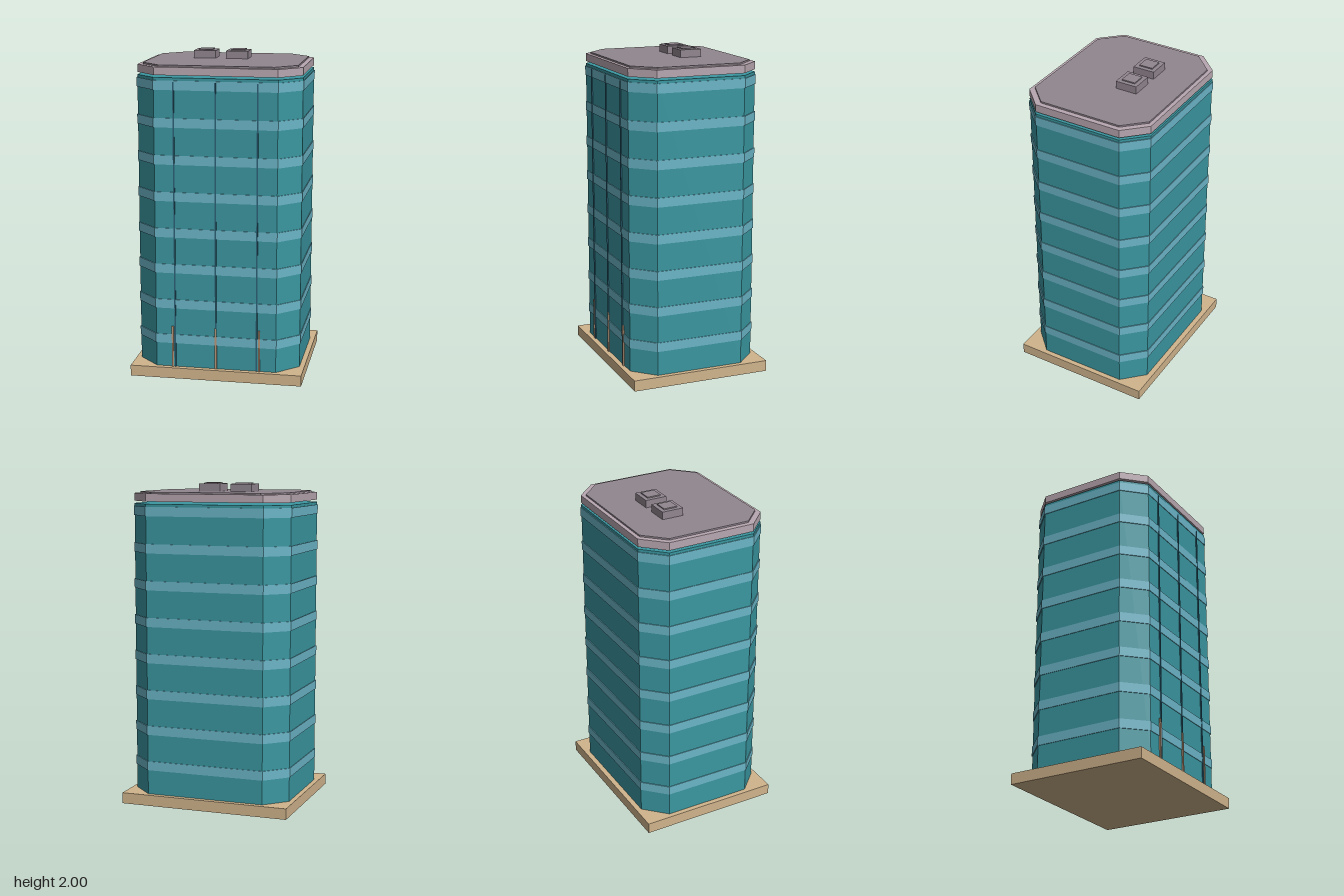
import * as THREE from 'three';

const mat = (name, color) => {
  const m = new THREE.MeshStandardMaterial({ color });
  m.name = name;
  return m;
};

export function createModel() {
  const group = new THREE.Group();
  const tan = mat('tan stone', 0xd0b48c);
  const teal = mat('teal glass', 0x3a96a0);
  const blue = mat('pale blue glass', 0x6bb5c7);
  const mauve = mat('pale mauve trim', 0xb8a7b0);
  const grey = mat('mauve grey roofing', 0x91868f);
  const navy = mat('dark blue metal', 0x2b6076);
  const bronze = mat('bronze', 0xb8967a);

  const add = (name, geometry, material, x = 0, y = 0, z = 0) => {
    const mesh = new THREE.Mesh(geometry, material);
    mesh.name = name;
    mesh.position.set(x, y, z);
    group.add(mesh);
  };
  const box = (name, material, w, d, y0, y1, x = 0, z = 0) =>
    add(name, new THREE.BoxGeometry(w, y1 - y0, d), material, x, (y0 + y1) / 2, z);

  // Upright prism on a rectangle with cut corners
  const prism = (name, material, hx, hz, cut, y0, y1) => {
    const shape = new THREE.Shape([
      [hx, -hz + cut], [hx, hz - cut], [hx - cut, hz], [-hx + cut, hz],
      [-hx, hz - cut], [-hx, -hz + cut], [-hx + cut, -hz], [hx - cut, -hz],
    ].map(([x, z]) => new THREE.Vector2(x, z)));
    const geometry = new THREE.ExtrudeGeometry(shape, { depth: y1 - y0, bevelEnabled: false });
    geometry.rotateX(-Math.PI / 2);
    add(name, geometry, material, 0, y0, 0);
  };

  // Plinth and tower
  box('plinth', tan, 1.074, 0.886, 0, 0.068);
  prism('tower', teal, 0.506, 0.41, 0.131, 0.068, 1.874);

  // Window bands
  for (let i = 0; i < 8; i++) {
    const y = 0.22 + i * 0.2257;
    prism('windowBand', blue, 0.51, 0.414, 0.132, y, y + 0.057);
  }

  // Roof cap, set just above the tower
  prism('roofRim', mauve, 0.505, 0.41, 0.131, 1.888, 1.936);
  prism('roofDeck', grey, 0.474, 0.386, 0.124, 1.936, 1.946);

  // Rooftop units with raised lids
  for (const x of [-0.151, 0.053]) {
    box('roofUnit', grey, 0.137, 0.137, 1.946, 1.993, x, -0.098);
    box('roofUnitLid', grey, 0.085, 0.087, 1.993, 2, x, -0.098);
  }

  // Front fins and entrance posts
  for (const x of [-0.255, 0, 0.255]) box('frontFin', navy, 0.009, 0.012, 0.068, 1.85, x, 0.411);
  for (const x of [-0.271, 0, 0.271]) box('entrancePost', bronze, 0.012, 0.014, 0.068, 0.33, x, 0.412);

  return group;
}
